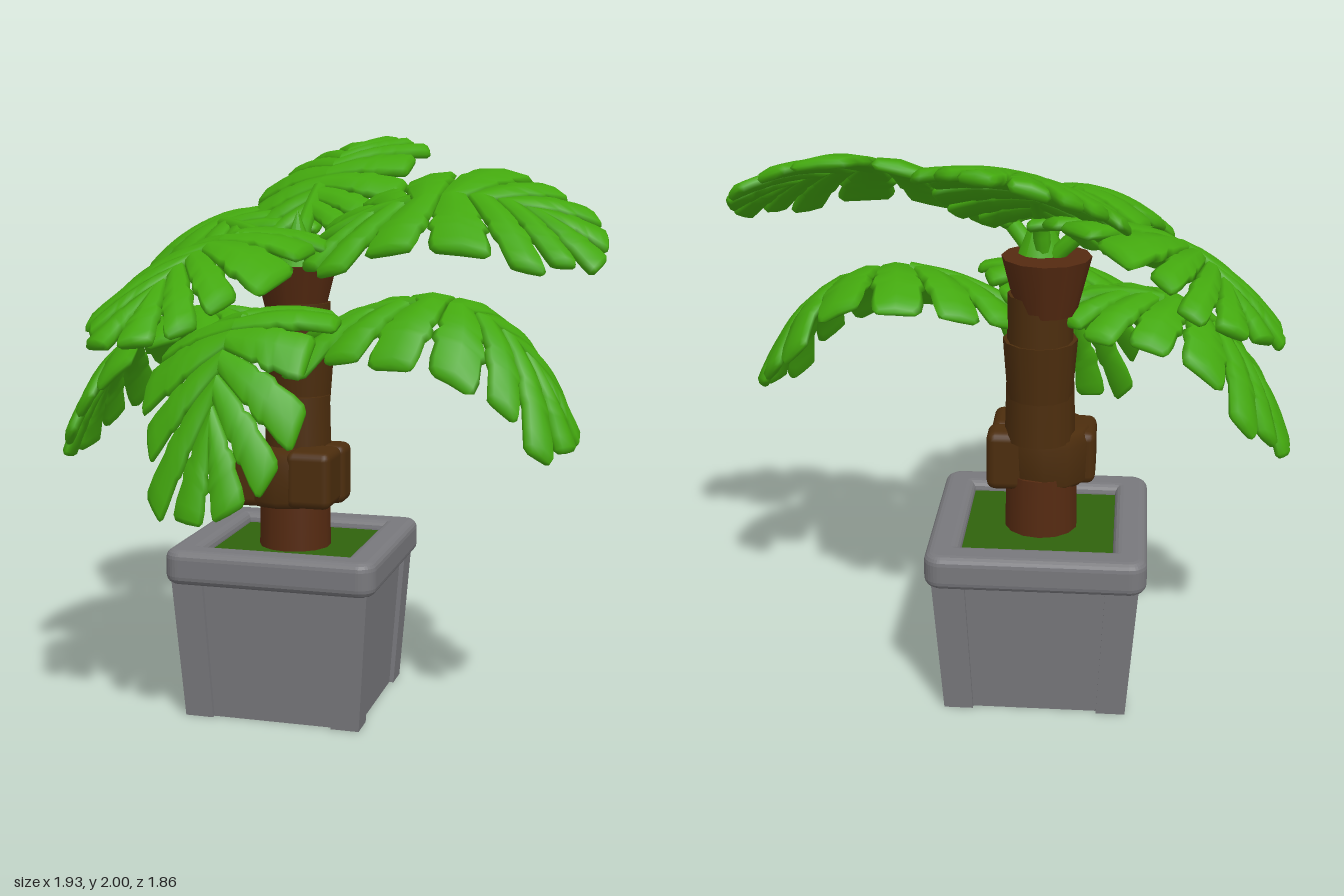
import * as THREE from 'three';
import { mergeGeometries } from 'three/addons/utils/BufferGeometryUtils.js';
import { RoundedBoxGeometry } from 'three/addons/geometries/RoundedBoxGeometry.js';

const V = (x, y, z) => new THREE.Vector3(x, y, z);
const material = (name, color) => Object.assign(new THREE.MeshStandardMaterial({ color }), { name });
const LOBES = 7;

// Cross-section of a lobe: across the lobe, thickness
const SECTION = [[-1, 0], [-0.82, 0.7], [0, 1], [0.82, 0.7], [1, 0], [0.82, -0.7], [0, -0.9], [-0.82, -0.7]];
// Lobe widths from midrib to tip; the early dip leaves small holes between lobes
const RINGS = [[0, 1], [0.25, 1], [0.4, 1], [0.46, 0.84], [0.52, 1], [0.62, 1], [0.67, 0.84], [0.85, 0.84], [0.96, 0.76], [1, 0.6]];

// Split-edged leaf blade, bent along a quadratic spine
function leafGeometry({ base, ctrl, tip, width, roll, droop, seed }) {
  const spine = new THREE.QuadraticBezierCurve3(V(...base), V(...ctrl), V(...tip));
  const span = V(tip[0] - base[0], 0, tip[2] - base[2]).normalize();
  const across = V(0, 1, 0).cross(span).multiplyScalar(Math.cos(roll)).add(V(0, Math.sin(roll), 0));
  const place = (a, b, h) => {
    const t = THREE.MathUtils.clamp(a, 0, 1);
    const tangent = spine.getPoint(t + 0.01).sub(spine.getPoint(t - 0.01)).normalize();
    const normal = tangent.clone().cross(across).normalize();
    return spine.getPoint(a).addScaledVector(across, b).addScaledVector(normal, h - droop * b * b);
  };
  // Boundary between two lobes: its root on the midrib and its end on a blunt oval outline
  const blunt = (v) => Math.sign(v) * Math.abs(v) ** 0.73;
  const boundary = (j) => {
    const k = j / LOBES, angle = THREE.MathUtils.degToRad(160 * (1 - k));
    return {
      root: new THREE.Vector2(0.1 + 0.7 * k, 0),
      end: new THREE.Vector2(0.44 + 0.56 * blunt(Math.cos(angle)), width * blunt(Math.sin(angle))),
    };
  };
  const positions = [], index = [];
  for (const side of [1, -1]) {
    for (let i = 0; i < LOBES; i++) {
      const p = boundary(i), q = boundary(i + 1), start = positions.length / 3, n = SECTION.length;
      const reach = 0.98 + 0.07 * Math.sin(seed * 3 + i * 2.4 + side);
      const point = (s, t, h) => {
        const l = p.root.clone().lerp(p.end, s * reach), r = q.root.clone().lerp(q.end, s * reach);
        const c = l.lerp(r, 0.5 + 0.5 * t);
        positions.push(...place(c.x, side * c.y, h).toArray());
      };
      const tri = (a, b, c) => index.push(...(side > 0 ? [a, b, c] : [a, c, b]).map((v) => v + start));
      for (const [s, w] of RINGS) {
        const thick = 0.024 * (s > 0.99 ? 0.55 : 1);
        for (const [t, h] of SECTION) point(s, t * w, h * thick);
      }
      point(1.01, 0, 0);
      const last = RINGS.length - 1;
      for (let k = 0; k < n; k++) {
        const k1 = (k + 1) % n;
        for (let r = 0; r < last; r++) {
          tri(r * n + k, r * n + k1, (r + 1) * n + k1);
          tri(r * n + k, (r + 1) * n + k1, (r + 1) * n + k);
        }
        tri(last * n + k, last * n + k1, (last + 1) * n);
      }
    }
  }
  const geometry = new THREE.BufferGeometry();
  geometry.setAttribute('position', new THREE.Float32BufferAttribute(positions, 3));
  geometry.setIndex(index);
  geometry.computeVertexNormals();
  return geometry;
}

// Square outline with rounded corners
function square(h, r, Type = THREE.Shape) {
  const s = new Type();
  s.absarc(h - r, h - r, r, 0, Math.PI / 2);
  s.absarc(r - h, h - r, r, Math.PI / 2, Math.PI);
  s.absarc(r - h, r - h, r, Math.PI, Math.PI * 1.5);
  s.absarc(h - r, r - h, r, Math.PI * 1.5, Math.PI * 2);
  s.closePath();
  return s;
}

// Narrows a pot part towards the ground
function taper(geometry) {
  const p = geometry.attributes.position;
  for (let i = 0; i < p.count; i++) {
    const k = 0.9 + 0.1 * p.getY(i) / 0.5;
    p.setX(i, p.getX(i) * k);
    p.setZ(i, p.getZ(i) * k);
  }
  geometry.computeVertexNormals();
  return geometry;
}

export function createModel() {
  const model = new THREE.Group();
  const stone = material('stone grey', 0x78787c);
  const slate = material('pale slate', 0x7e8c8d);
  const moss = material('moss green', 0x2f620c);
  const bark = material('brown bark', 0x4c2d0d);
  const redBark = material('reddish bark', 0x552a11);
  const green = material('leaf green', 0x43a80e);
  const add = (parent, name, geometry, mat, x = 0, y = 0, z = 0) => {
    const mesh = new THREE.Mesh(geometry, mat);
    mesh.name = name;
    mesh.position.set(x, y, z);
    parent.add(mesh);
    return mesh;
  };

  // Pot: corner posts, recessed panels, floor, rim and soil
  const pot = new THREE.Group();
  pot.name = 'pot';
  pot.position.set(-0.125, 0, -0.078);
  model.add(pot);
  for (let i = 0; i < 4; i++) {
    const a = i * Math.PI / 2;
    const post = taper(new THREE.BoxGeometry(0.11, 0.5, 0.11).translate(0.29, 0.25, 0.29));
    const panel = taper(new THREE.BoxGeometry(0.5, 0.5, 0.035).translate(0, 0.25, 0.31));
    add(pot, 'cornerPost', post, stone).rotation.y = a;
    add(pot, 'sidePanel', panel, stone).rotation.y = a;
  }
  add(pot, 'potFloor', new THREE.BoxGeometry(0.54, 0.02, 0.54), slate, 0, 0.045, 0);
  const rimShape = square(0.34, 0.03);
  rimShape.holes.push(square(0.285, 0.02, THREE.Path));
  const rim = new THREE.ExtrudeGeometry(rimShape, {
    depth: 0.06, bevelSize: 0.03, bevelThickness: 0.03, bevelSegments: 4, curveSegments: 4,
  });
  rim.rotateX(-Math.PI / 2);
  add(pot, 'rim', rim, stone, 0, 0.51, 0);
  add(pot, 'soil', new THREE.BoxGeometry(0.58, 0.04, 0.58), moss, 0, 0.545, 0);

  // Trunk, from the soil up to the flared crown
  add(model, 'trunkBase', new THREE.CylinderGeometry(0.122, 0.127, 0.22, 14), redBark, -0.125, 0.66, -0.068);
  const collar = new THREE.LatheGeometry([[0, 0], [0.13, 0], [0.155, 0.025], [0.16, 0.16], [0.14, 0.2], [0, 0.2]]
    .map((p) => new THREE.Vector2(...p)), 12);
  add(model, 'trunkCollar', collar, bark, -0.14, 0.725, -0.03);
  const stubs = [[-0.01, 0.825, -0.1, 0.14, 0.21, 0.12], [-0.03, 0.83, 0.03, 0.16, 0.2, 0.18], [-0.24, 0.82, 0.0, 0.14, 0.19, 0.2]];
  for (const [x, y, z, w, h, d] of stubs) {
    add(model, 'barkStub', new RoundedBoxGeometry(w, h, d, 2, 0.03), bark, x, y, z);
  }
  const segments = [[1.0, 0.2, 0.115, 0.12, -0.09], [1.16, 0.2, 0.125, 0.11, -0.11], [1.32, 0.2, 0.108, 0.11, -0.12]];
  for (const [y, h, top, bottom, z] of segments) {
    add(model, 'trunkSegment', new THREE.CylinderGeometry(top, bottom, h, 12), bark, -0.12, y, z);
  }
  add(model, 'trunkCrown', new THREE.CylinderGeometry(0.148, 0.1, 0.19, 12), redBark, -0.14, 1.455, -0.13);
  add(model, 'crownShoot', new THREE.ConeGeometry(0.09, 0.22, 10), green, -0.12, 1.63, -0.09);

  // Leaves: three low and four high, each with a stalk from the trunk
  const leaves = [
    { name: 'upperLeftLeaf', base: [0.04, 1.66, 0.05], ctrl: [0.5, 1.94, 0.03], tip: [0.96, 1.61, 0.13], width: 0.3, roll: 0.42, droop: 0.55 },
    { name: 'lowerLeftLeaf', base: [0.0, 1.33, 0.03], ctrl: [0.61, 1.67, 0.05], tip: [0.88, 0.96, 0.1], width: 0.28, roll: 0.24, droop: 1.6 },
    { name: 'upperFrontLeaf', base: [-0.16, 1.65, 0], ctrl: [-0.26, 1.73, 0.48], tip: [-0.39, 1.37, 0.92], width: 0.28, roll: 0.1, droop: 1.1 },
    { name: 'lowerFrontLeaf', base: [-0.17, 1.36, 0.03], ctrl: [-0.24, 1.56, 0.5], tip: [-0.2, 0.76, 0.64], width: 0.31, roll: 0.22, droop: 0.8 },
    { name: 'lowerRightLeaf', base: [-0.25, 1.37, -0.02], ctrl: [-0.75, 1.49, -0.03], tip: [-0.96, 0.85, -0.05], width: 0.29, roll: 0, droop: 1.1 },
    { name: 'upperBackRightLeaf', base: [-0.27, 1.64, -0.15], ctrl: [-0.65, 1.76, -0.43], tip: [-0.76, 1.5, -0.82], width: 0.29, roll: -0.42, droop: 0.9 },
    { name: 'upperBackLeaf', base: [-0.12, 1.67, -0.16], ctrl: [-0.13, 1.93, -0.5], tip: [-0.06, 1.97, -0.92], width: 0.31, roll: -0.18, droop: 0.7 },
  ];
  leaves.forEach((spec, i) => {
    const [x, y, z] = spec.base;
    const spine = new THREE.QuadraticBezierCurve3(V(x, y, z), V(...spec.ctrl), V(...spec.tip));
    const root = V(-0.13, spec.name.startsWith('upper') ? 1.5 : 1.24, -0.12);
    const stalk = new THREE.CatmullRomCurve3([
      root, V((root.x + x) / 2, root.y * 0.4 + y * 0.6, (root.z + z) / 2), V(x, y, z), spine.getPoint(0.15), spine.getPoint(0.3),
    ]);
    const blade = leafGeometry({ ...spec, seed: i });
    const tube = new THREE.TubeGeometry(stalk, 14, 0.028, 8);
    tube.deleteAttribute('uv');
    add(model, spec.name, mergeGeometries([blade, tube]), green);
  });
  return model;
}
